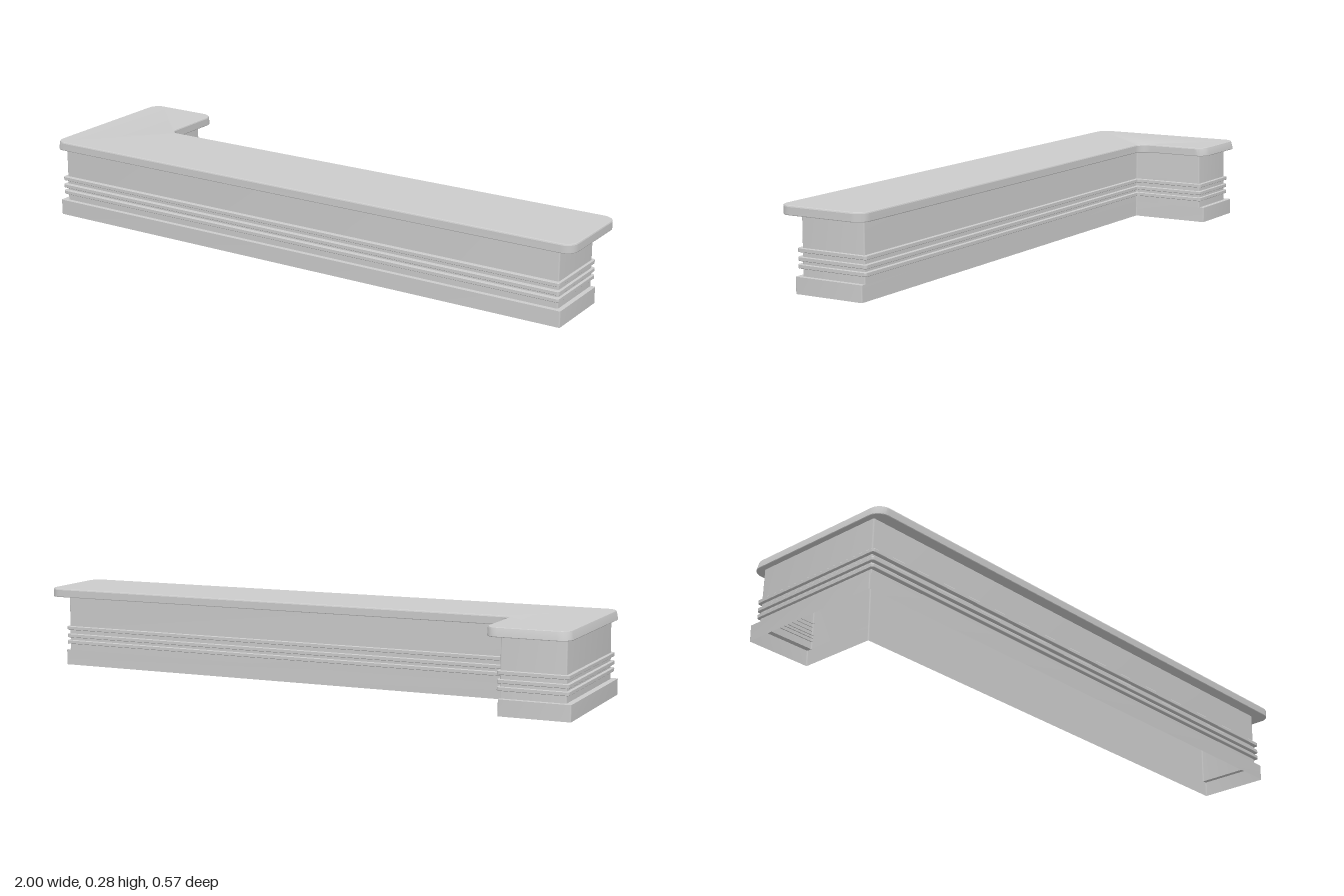
import * as THREE from 'three';
import { toCreasedNormals } from 'three/addons/utils/BufferGeometryUtils.js';

const SEG = 6; // segments per rounded corner

// L-shaped outline as [x, z] points, counter-clockwise from above.
// d = [xMin, xMax, xInner, zFront, zInner, zBack]
function outline([x0, x1, xi, zf, zi, zb], r) {
  const c = [[x0, zf], [x1, zf], [x1, zi], [xi, zi], [xi, zb], [x0, zb]];
  const pts = [];
  c.forEach((p, i) => {
    const a = c[(i + 5) % 6], b = c[(i + 1) % 6];
    const u = [Math.sign(p[0] - a[0]), Math.sign(p[1] - a[1])];
    const v = [Math.sign(b[0] - p[0]), Math.sign(b[1] - p[1])];
    for (let k = 0; k <= SEG; k++) {
      const t = (k / SEG) * Math.PI / 2;
      const s = r * (Math.sin(t) - 1), e = r * (1 - Math.cos(t));
      pts.push([p[0] + u[0] * s + v[0] * e, p[1] + u[1] * s + v[1] * e]);
    }
  });
  return pts;
}

// Move every side of an outline outward by g
const grow = ([x0, x1, xi, zf, zi, zb], g) => [x0 - g, x1 + g, xi + g, zf + g, zi - g, zb - g];

// Skin through rows of { d, r, y }, optionally capped at both ends
function loft(rows, capped) {
  const pos = [], idx = [];
  const loops = rows.map(({ d, r }) => outline(d, r));
  const n = loops[0].length;
  loops.forEach((loop, j) => loop.forEach(([x, z]) => pos.push(x, rows[j].y, z)));
  for (let j = 0; j < rows.length - 1; j++) {
    for (let i = 0; i < n; i++) {
      const a = j * n + i, b = j * n + (i + 1) % n;
      idx.push(a, b, b + n, a, b + n, a + n);
    }
  }
  if (capped) {
    const top = (rows.length - 1) * n;
    const flat = (loop) => loop.map(([x, z]) => new THREE.Vector2(x, -z));
    for (const [a, b, c] of THREE.ShapeUtils.triangulateShape(flat(loops[rows.length - 1]), []))
      idx.push(top + a, top + b, top + c);
    for (const [a, b, c] of THREE.ShapeUtils.triangulateShape(flat(loops[0]), []))
      idx.push(a, c, b);
  }
  const g = new THREE.BufferGeometry();
  g.setAttribute('position', new THREE.Float32BufferAttribute(pos, 3));
  g.setIndex(idx);
  return toCreasedNormals(g, 0.35);
}

export function createModel() {
  const group = new THREE.Group();
  const solid = new THREE.MeshStandardMaterial({ color: 0xcccccc });
  const sheet = new THREE.MeshStandardMaterial({ color: 0xcccccc, side: THREE.DoubleSide });
  const add = (name, rows, capped, material) => {
    const mesh = new THREE.Mesh(loft(rows, capped), material);
    mesh.name = name;
    group.add(mesh);
  };

  const bodyLow = [-0.978, 0.94, -0.765, 0.242, 0.013, -0.245];
  const bodyTop = [-0.976, 0.94, -0.765, 0.242, 0.013, -0.241];
  // The plinth stands proud on the outer sides and is flush on the two inner sides
  const plinth = [-0.998, 0.956, -0.765, 0.258, 0.013, -0.263];
  const rail = [-0.987, 0.948, -0.756, 0.256, 0.003, -0.252];
  // The worktop leans in slightly on its left and back sides
  const slabLow = [-0.996, 1, -0.724, 0.283, -0.024, -0.283];
  const slabTop = [-0.991, 1, -0.724, 0.283, -0.024, -0.279];

  // Hollow plinth and counter walls, open underneath
  add('plinth', [
    { d: plinth, r: 0.004, y: 0 },
    { d: plinth, r: 0.004, y: 0.053 },
    { d: bodyLow, r: 0.004, y: 0.053 },
  ], false, sheet);
  add('counterWalls', [
    { d: bodyLow, r: 0.004, y: 0.053 },
    { d: bodyTop, r: 0.004, y: 0.25 },
  ], false, sheet);

  // Three trim rails wrapped around the walls
  for (const y of [0.077, 0.1, 0.127]) {
    const h = 0.013, e = 0.0015;
    add('trimRail', [
      { d: bodyTop, r: 0.004, y },
      { d: grow(rail, -e), r: 0.007, y },
      { d: rail, r: 0.0085, y: y + e },
      { d: rail, r: 0.0085, y: y + h - e },
      { d: grow(rail, -e), r: 0.007, y: y + h },
      { d: bodyTop, r: 0.004, y: y + h },
    ], false, sheet);
  }

  // Worktop with rounded corners and a softened upper edge
  add('worktop', [
    { d: grow(slabLow, -0.001), r: 0.039, y: 0.247 },
    { d: slabLow, r: 0.04, y: 0.249 },
    { d: slabTop, r: 0.04, y: 0.272 },
    { d: grow(slabTop, -0.0015), r: 0.0385, y: 0.2755 },
    { d: grow(slabTop, -0.004), r: 0.036, y: 0.277 },
  ], true, solid);

  return group;
}
